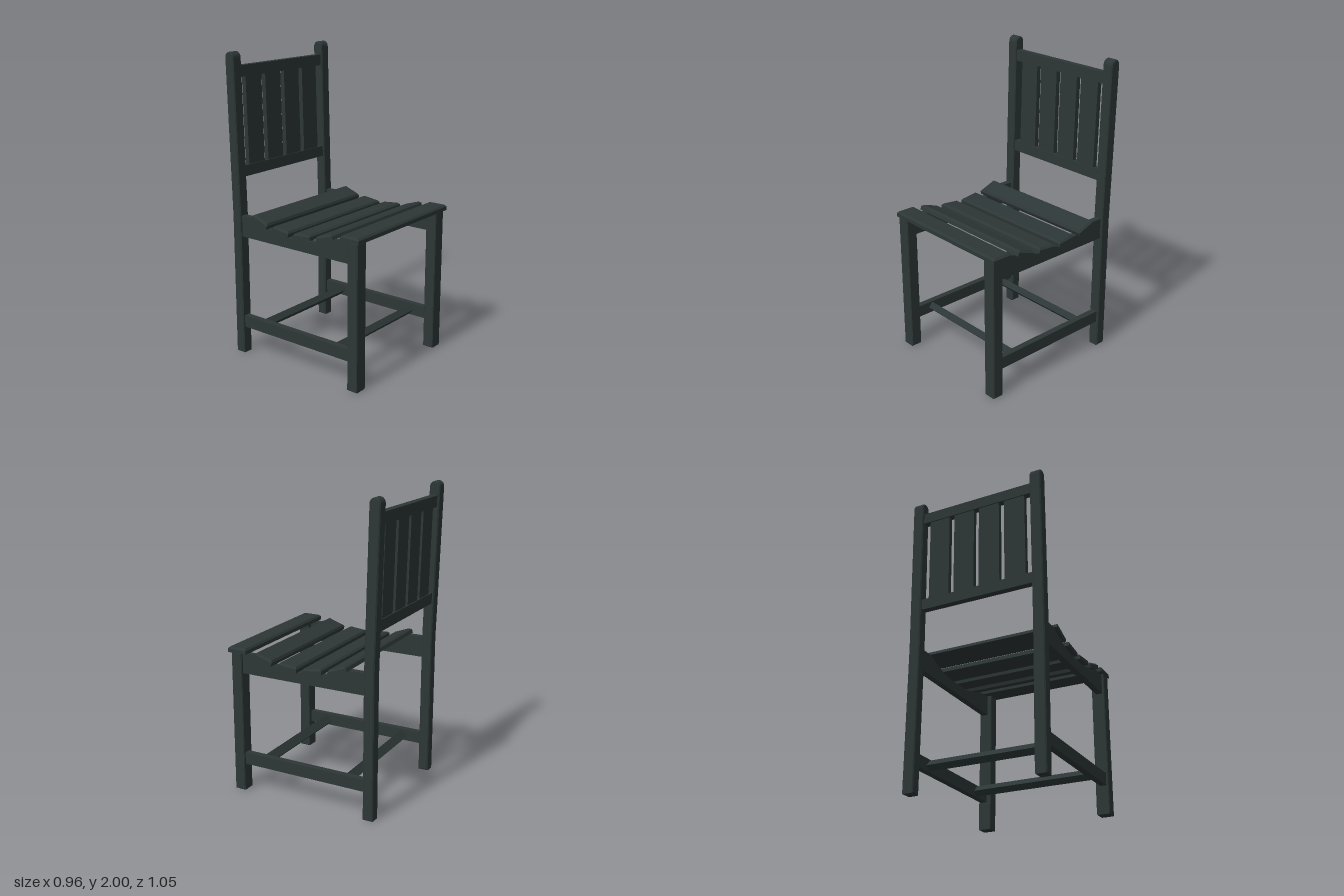
import * as THREE from 'three';
import { ConvexGeometry } from 'three/addons/geometries/ConvexGeometry.js';

const FRAME_X = -0.0075; // middle of the leg frame

export function createModel() {
  const chair = new THREE.Group();
  chair.name = 'slattedChair';
  const paint = new THREE.MeshStandardMaterial({ color: 0x2d3636 });
  paint.name = 'dark slate paint';

  const add = (name, geometry, x = 0, y = 0, z = 0, tilt = 0) => {
    const mesh = new THREE.Mesh(geometry, paint);
    mesh.name = name;
    mesh.position.set(x, y, z);
    mesh.rotation.x = tilt;
    chair.add(mesh);
    return mesh;
  };

  // Side profile of [z, y] points, given a width in x, with optional chamfer
  const sideProfile = (points, width, chamfer = 0) => {
    const shape = new THREE.Shape(points.map(([z, y]) => new THREE.Vector2(-z, y)));
    const geometry = new THREE.ExtrudeGeometry(shape, {
      depth: width - 2 * chamfer, bevelEnabled: chamfer > 0, bevelSegments: 1,
      bevelSize: chamfer, bevelThickness: chamfer, bevelOffset: -chamfer,
    });
    return geometry.translate(0, 0, chamfer - width / 2).rotateY(Math.PI / 2);
  };

  // Board with chamfered upper edges
  const slatGeometry = (w, h, d, c) => {
    const points = [];
    for (const [y, inset] of [[-h / 2, 0], [h / 2 - c, 0], [h / 2, c]])
      for (const sx of [-1, 1]) for (const sz of [-1, 1])
        points.push(new THREE.Vector3(sx * (w / 2 - inset), y, sz * (d / 2 - inset)));
    return new ConvexGeometry(points);
  };

  // Back post: upright to the seat, then leaning back to a rounded top
  const post = [[-0.5, 0], [-0.43, 0], [-0.43, 0.95]];
  for (let i = 0; i <= 10; i++) {
    const a = (i / 10) * Math.PI;
    post.push([-0.491 + 0.036 * Math.cos(a), 1.964 + 0.036 * Math.sin(a)]);
  }
  post.push([-0.5, 0.95]);

  // Seat rail: dished along its upper edge
  const dish = new THREE.SplineCurve([
    [0.36, 0.948], [0.28, 0.927], [0.19, 0.9], [0.09, 0.888], [0, 0.885],
    [-0.09, 0.888], [-0.18, 0.901], [-0.26, 0.93], [-0.32, 0.955],
  ].map(p => new THREE.Vector2(...p))).getPoints(24).map(p => [p.x, p.y]);
  const rail = [[-0.43, 0.815], [0.44, 0.815], [0.44, 0.95], ...dish, [-0.43, 0.955]];

  for (const [side, s] of [['left', 1], ['right', -1]]) {
    add(side + 'FrontLeg', sideProfile([[0.44, 0], [0.516, 0], [0.516, 0.955], [0.44, 0.955]], 0.088, 0.005),
      FRAME_X + s * 0.423);
    add(side + 'BackPost', sideProfile(post, 0.075, 0.007), FRAME_X + s * 0.429);
    add(side + 'SeatRail', sideProfile(rail, 0.042), FRAME_X + s * 0.431);
    add(side + 'Stretcher', new THREE.BoxGeometry(0.042, 0.08, 0.87), FRAME_X + s * 0.431, 0.225, 0.005);
  }

  // Cross stretchers set on edge between the side stretchers
  for (const [name, z] of [['frontStretcher', 0.305], ['backStretcher', -0.295]])
    add(name, new THREE.BoxGeometry(0.83, 0.06, 0.045), FRAME_X, 0.223, z, Math.PI / 4);

  // Seat slats following the dish: [z, y, tilt]
  const slat = slatGeometry(0.96, 0.036, 0.135, 0.012);
  [[0.46, 0.972, 0], [0.266, 0.943, -0.32], [0.089, 0.916, -0.1],
    [-0.086, 0.917, 0.12], [-0.26, 0.95, 0.36]]
    .forEach(([z, y, tilt], i) => add('seatSlat' + (i + 1), slat, 0, y, z, tilt));

  // Backrest, leaning with the posts
  const lean = -0.025;
  const backZ = y => -0.464 + lean * (y - 0.95);
  const backPart = (name, w, h, d, x, y) =>
    add(name, new THREE.BoxGeometry(w, h, d), x, y, backZ(y), lean);
  backPart('backTopRail', 0.79, 0.072, 0.046, FRAME_X, 1.875);
  backPart('backLowerRail', 0.79, 0.072, 0.046, FRAME_X, 1.237);
  for (let i = 0; i < 4; i++)
    backPart('backSlat' + (i + 1), 0.145, 0.58, 0.032, FRAME_X + (i - 1.5) * 0.181, 1.556);

  return chair;
}
